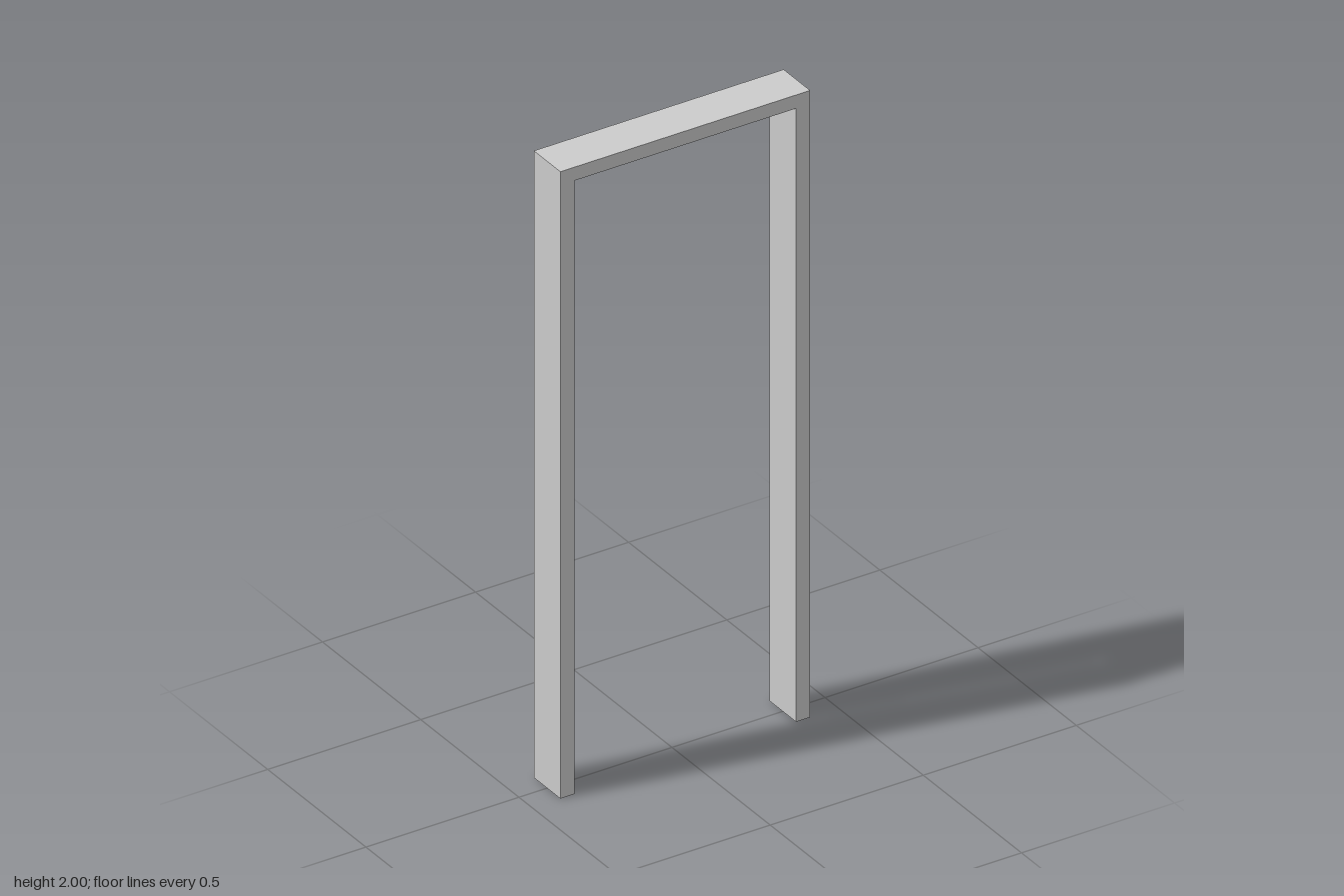
import * as THREE from 'three';

const HALF_WIDTH = 0.408;
const HEIGHT = 2;
const DEPTH = 0.135;
const JAMB = 0.046; // thickness of the side posts
const HEAD = 0.043; // thickness of the top rail

export function createModel() {
  const group = new THREE.Group();
  group.name = 'doorFrame';

  // Portal outline: two jambs joined by a head, open at the floor
  const inner = HALF_WIDTH - JAMB;
  const outline = new THREE.Shape([
    [-HALF_WIDTH, 0], [-inner, 0], [-inner, HEIGHT - HEAD], [inner, HEIGHT - HEAD],
    [inner, 0], [HALF_WIDTH, 0], [HALF_WIDTH, HEIGHT], [-HALF_WIDTH, HEIGHT],
  ].map(([x, y]) => new THREE.Vector2(x, y)));

  // Extruded through the wall depth and centred on z
  const geometry = new THREE.ExtrudeGeometry(outline, { depth: DEPTH, bevelEnabled: false });
  geometry.translate(0, 0, -DEPTH / 2);

  const frame = new THREE.Mesh(geometry, new THREE.MeshStandardMaterial({ color: 0xcccccc }));
  frame.name = 'jambsAndHead';
  group.add(frame);
  return group;
}
